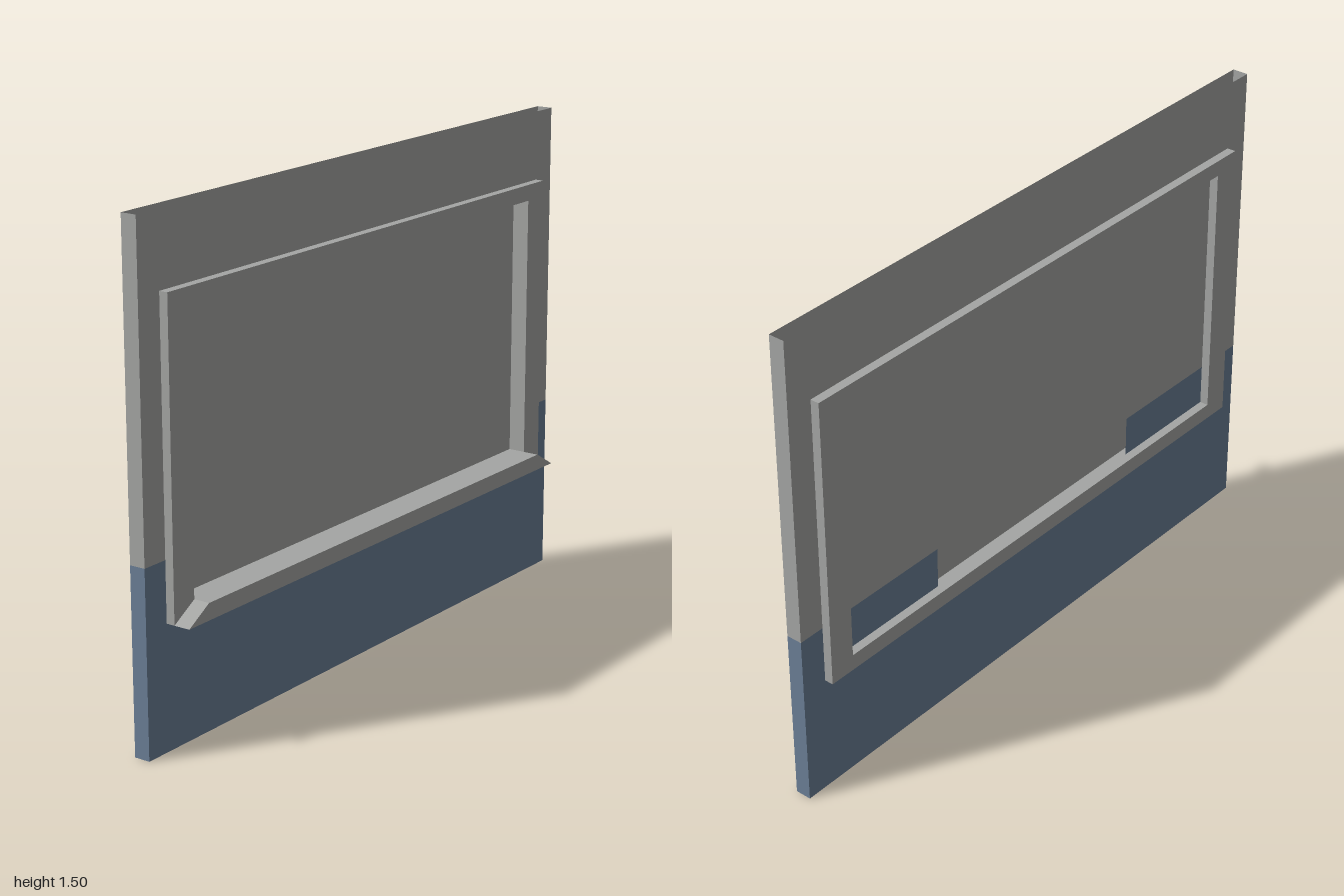
import * as THREE from 'three';

const grey = new THREE.MeshStandardMaterial({ color: 0xa5a6a4, side: THREE.DoubleSide });
grey.name = 'plaster grey';
const blue = new THREE.MeshStandardMaterial({ color: 0x6b7f96, side: THREE.DoubleSide });
blue.name = 'wainscot blue';

const WALL_TOP = 1.5, PAINT = 0.55, BACK = -0.05;
const OUT = { x: 0.915, y0: 0.37, y1: 1.285 };
const IN = { x: 0.83, y0: 0.42, y1: 1.235 };

// Closed polygon from [x, y] pairs
const poly = (pts, Type = THREE.Shape) => new Type(pts.map(([x, y]) => new THREE.Vector2(x, y)));
const rect = (x, y0, y1, Type) => poly([[-x, y0], [x, y0], [x, y1], [-x, y1]], Type);

export function createModel() {
  const model = new THREE.Group();
  const add = (name, geometry, material, parent = model) => {
    const mesh = new THREE.Mesh(geometry, material);
    mesh.name = name;
    parent.add(mesh);
    return mesh;
  };

  // Hollow wall, open at top and bottom; each sheet is painted blue up to PAINT
  const wall = new THREE.Group();
  wall.name = 'wall';
  model.add(wall);
  const addSheet = (name, holeX, z, flip) => {
    const y0 = 0.39, y1 = 1.26;
    const lower = poly([[-1, 0], [1, 0], [1, PAINT], [holeX, PAINT], [holeX, y0],
      [-holeX, y0], [-holeX, PAINT], [-1, PAINT]]);
    const upper = poly([[-1, PAINT], [-holeX, PAINT], [-holeX, y1], [holeX, y1],
      [holeX, PAINT], [1, PAINT], [1, WALL_TOP], [-1, WALL_TOP]]);
    [[lower, blue, 'Lower'], [upper, grey, 'Upper']].forEach(([shape, material, part]) => {
      const mesh = add(name + part, new THREE.ShapeGeometry(shape), material, wall);
      mesh.position.z = z;
      if (flip) mesh.rotation.y = Math.PI;
    });
  };
  addSheet('wallFront', 0.87, 0, false);
  addSheet('wallBack', 0.44, BACK, true);

  // Wall ends
  for (const side of [-1, 1]) {
    [[0, PAINT, blue, 'Lower'], [PAINT, WALL_TOP, grey, 'Upper']].forEach(([y0, y1, material, part]) => {
      const end = add('wallEnd' + part, new THREE.PlaneGeometry(-BACK, y1 - y0), material, wall);
      end.position.set(side, (y0 + y1) / 2, BACK / 2);
      end.rotation.y = side * Math.PI / 2;
    });
  }

  // Window frame passing through the wall
  const frameShape = rect(OUT.x, OUT.y0, OUT.y1);
  frameShape.holes.push(rect(IN.x, IN.y0, IN.y1, THREE.Path));
  const frame = add('windowFrame',
    new THREE.ExtrudeGeometry(frameShape, { depth: 0.105, bevelEnabled: false }), grey);
  frame.position.z = -0.078;

  // Projecting sill with mitred ends
  const sillShape = poly([[-OUT.x, OUT.y0], [OUT.x, OUT.y0], [IN.x, IN.y0], [-IN.x, IN.y0]]);
  const sill = add('windowSill',
    new THREE.ExtrudeGeometry(sillShape, { depth: 0.051, bevelEnabled: false }), grey);
  sill.position.z = 0.027;

  // Pane halfway through the wall
  const pane = add('windowPane', new THREE.ShapeGeometry(rect(IN.x, IN.y0, IN.y1)), grey);
  pane.position.z = -0.027;

  return model;
}
